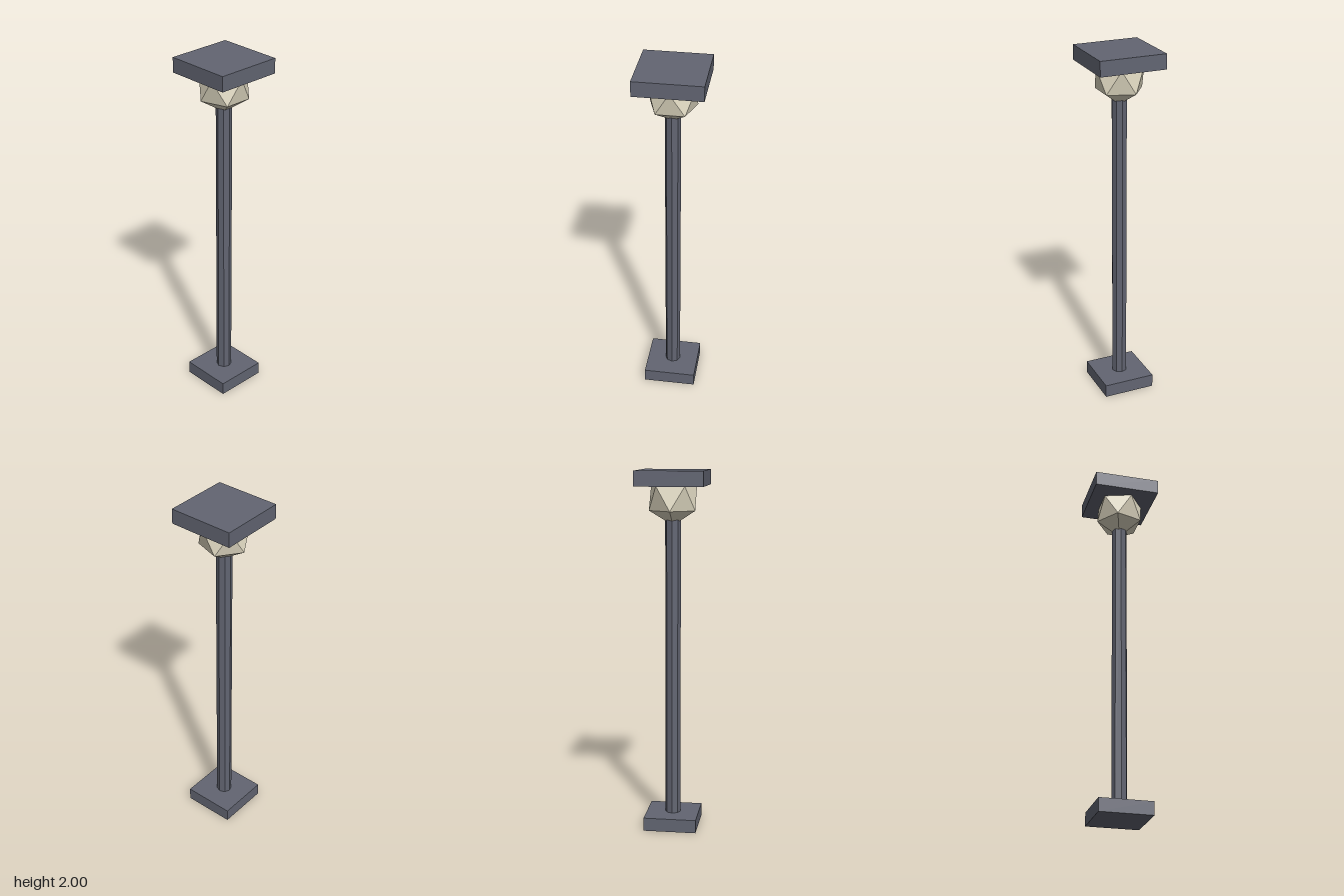
import * as THREE from 'three';

const slate = new THREE.MeshStandardMaterial({ color: 0x626572, flatShading: true });
slate.name = 'slate metal';
const cream = new THREE.MeshStandardMaterial({ color: 0xe0d9c2, flatShading: true });
cream.name = 'cream lamp';

const BASE_HEIGHT = 0.074;
const CAP_HEIGHT = 0.083;
const LAMP_RADIUS = 0.148;
const LAMP_Y = 1.85;

export function createModel() {
  const model = new THREE.Group();
  model.name = 'lampPost';

  const add = (name, geometry, material, y) => {
    const mesh = new THREE.Mesh(geometry, material);
    mesh.name = name;
    mesh.position.y = y;
    model.add(mesh);
    return mesh;
  };

  // Square foot and the wider square cap
  add('base', new THREE.BoxGeometry(0.294, BASE_HEIGHT, 0.294), slate, BASE_HEIGHT / 2);
  add('cap', new THREE.BoxGeometry(0.37, CAP_HEIGHT, 0.37), slate, 2 - CAP_HEIGHT / 2);

  // Eight-sided post, ending inside the lamp
  const postTop = 1.8;
  add('post', new THREE.CylinderGeometry(0.043, 0.043, postTop - BASE_HEIGHT, 8), slate,
    (postTop + BASE_HEIGHT) / 2);

  // Faceted lamp, turned so that it stands on one corner
  const goldenRatio = (1 + Math.sqrt(5)) / 2;
  const lamp = new THREE.IcosahedronGeometry(LAMP_RADIUS, 0);
  lamp.rotateZ(-Math.atan(1 / goldenRatio));
  add('lamp', lamp, cream, LAMP_Y);

  return model;
}
